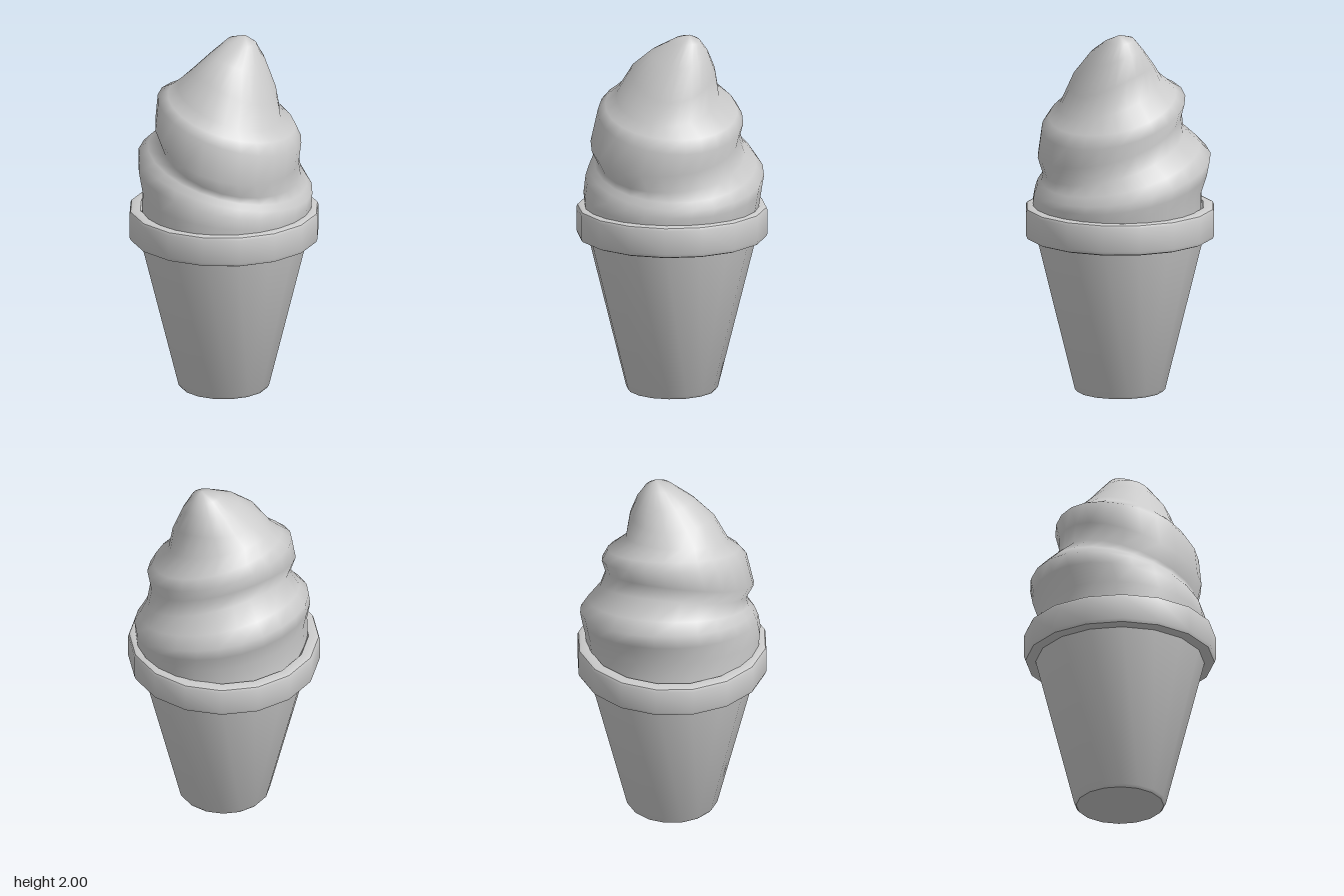
import * as THREE from 'three';
import { toCreasedNormals, mergeVertices } from 'three/addons/utils/BufferGeometryUtils.js';

const SIDES = 16;
const material = new THREE.MeshStandardMaterial({ color: 0xcccccc });

// Turned part from a profile of [radius, height], listed from bottom to top
function turned(name, profile) {
  const points = profile.map(([r, y]) => new THREE.Vector2(r, y));
  const geometry = toCreasedNormals(new THREE.LatheGeometry(points, SIDES), 0.7);
  const mesh = new THREE.Mesh(geometry, material);
  mesh.name = name;
  return mesh;
}

// Cream: tilted rings, each given as [reach, height] toward -x, +x, +z and -z
const rings = [
  [[0.44, 0.98], [0.46, 0.95], [0.47, 0.97], [0.46, 0.95]],
  [[0.43, 1.14], [0.47, 1.03], [0.48, 1.10], [0.48, 1.07]],
  [[0.47, 1.26], [0.47, 1.07], [0.47, 1.19], [0.49, 1.14]],
  [[0.48, 1.34], [0.465, 1.11], [0.45, 1.25], [0.50, 1.20]],
  [[0.42, 1.40], [0.44, 1.15], [0.42, 1.28], [0.46, 1.26]],
  [[0.33, 1.48], [0.42, 1.20], [0.40, 1.31], [0.40, 1.33]],
  [[0.34, 1.57], [0.43, 1.29], [0.44, 1.39], [0.37, 1.42]],
  [[0.35, 1.67], [0.43, 1.42], [0.40, 1.57], [0.39, 1.50]],
  [[0.29, 1.70], [0.39, 1.49], [0.36, 1.61], [0.36, 1.56]],
  [[0.23, 1.75], [0.33, 1.55], [0.30, 1.66], [0.26, 1.65]],
  [[0.17, 1.81], [0.29, 1.67], [0.22, 1.80], [0.24, 1.79]],
  [[0.09, 1.90], [0.21, 1.84], [0.11, 1.90], [0.20, 1.90]],
  [[0.02, 1.975], [0.14, 1.96], [0.00, 1.96], [0.16, 1.96]],
  [[-0.07, 2.0], [0.07, 2.0], [-0.1, 2.0], [0.1, 2.0]],
];

function creamGeometry() {
  const segments = 24;
  const position = [];
  const index = [];
  for (const [left, right, front, back] of rings) {
    const cx = (right[0] - left[0]) / 2, rx = (right[0] + left[0]) / 2;
    const cz = (front[0] - back[0]) / 2, rz = (front[0] + back[0]) / 2;
    const mean = (left[1] + right[1] + front[1] + back[1]) / 4;
    const tiltX = (right[1] - left[1]) / 2;
    const tiltZ = (front[1] - back[1]) / 2;
    const saddle = (right[1] + left[1] - front[1] - back[1]) / 4;
    for (let i = 0; i < segments; i++) {
      const a = (i / segments) * Math.PI * 2;
      const c = Math.cos(a), s = Math.sin(a);
      position.push(cx + rx * c, mean + tiltX * c + tiltZ * s + saddle * Math.cos(2 * a), cz + rz * s);
    }
  }
  for (let k = 0; k < rings.length - 1; k++) {
    for (let i = 0; i < segments; i++) {
      const a = k * segments + i;
      const b = k * segments + (i + 1) % segments;
      const c = a + segments, d = b + segments;
      index.push(a, c, b);
      if (k < rings.length - 2) index.push(b, c, d);
    }
  }
  let geometry = new THREE.BufferGeometry();
  geometry.setAttribute('position', new THREE.Float32BufferAttribute(position, 3));
  geometry.setIndex(index);
  geometry = mergeVertices(geometry);
  geometry.computeVertexNormals();
  return geometry;
}

export function createModel() {
  const group = new THREE.Group();
  group.name = 'iceCream';

  // Tapered cup with a closed base
  group.add(turned('cup', [[0, 0], [0.238, 0], [0.25, 0.015], [0.462, 0.87]]));

  // Rounded band around the top of the cup, with its inner lip
  group.add(turned('rim', [
    [0.44, 0.855], [0.495, 0.855], [0.513, 0.862], [0.52, 0.88],
    [0.52, 1.01], [0.514, 1.024], [0.50, 1.03], [0.46, 1.03], [0.44, 1.0], [0, 1.0],
  ]));

  // Swirled cream leaning to its off-centre tip
  const cream = new THREE.Mesh(creamGeometry(), material);
  cream.name = 'cream';
  group.add(cream);

  return group;
}
